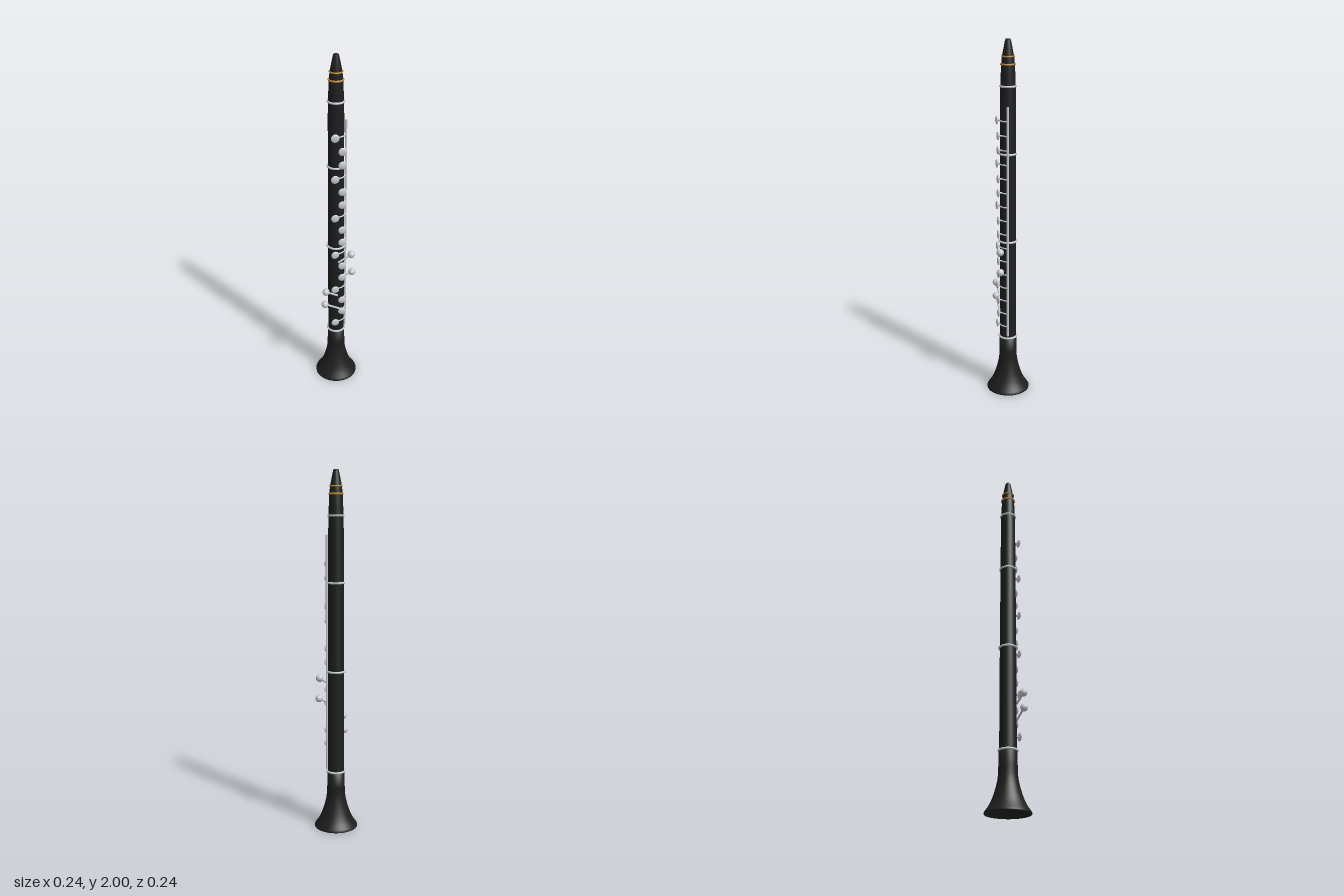
import * as THREE from 'three';

const mat = (name, color, side = THREE.FrontSide) => {
  const m = new THREE.MeshStandardMaterial({ color, side });
  m.name = name;
  return m;
};

export function createModel() {
  const wood = mat('black wood', 0x1e1e1e, THREE.DoubleSide);
  const silver = mat('silver', 0xc6c9ce);
  const gold = mat('gold', 0xb98a35);
  const model = new THREE.Group();
  model.name = 'clarinet';

  const add = (name, geo, material, x = 0, y = 0, z = 0, parent = model) => {
    const m = new THREE.Mesh(geo, material);
    m.name = name;
    m.position.set(x, y, z);
    parent.add(m);
    return m;
  };
  const lathe = (name, pts) =>
    add(name, new THREE.LatheGeometry(pts.map(p => new THREE.Vector2(...p)), 48), wood);
  const tube = (name, pts, r, parent) => add(name, new THREE.TubeGeometry(
    new THREE.CatmullRomCurve3(pts.map(p => new THREE.Vector3(...p))), 8 * (pts.length - 1), r, 8), silver, 0, 0, 0, parent);
  const ring = (name, y, r, t, material) =>
    add(name, new THREE.TorusGeometry(r, t, 10, 48), material, 0, y, 0).rotation.x = Math.PI / 2;

  // Flared bell: outside up, with a hollow inside
  const flare = [[0.122, 0.006], [0.117, 0.016], [0.102, 0.036], [0.087, 0.064], [0.074, 0.098],
    [0.063, 0.135], [0.055, 0.17], [0.051, 0.2], [0.05, 0.24], [0.049, 0.32]];
  const bore = flare.map(([r, y]) => [r - 0.008, y - 0.002]).reverse();
  lathe('bell', [[0.02, 0.318], ...bore, [0.116, 0], [0.121, 0.001], ...flare, [0, 0.33]]);

  // Lower joint, upper joint, barrel
  const joint = (name, y0, y1, r0, r1) =>
    add(name, new THREE.CylinderGeometry(r1, r0, y1 - y0, 48), wood, 0, (y0 + y1) / 2);
  joint('lowerJoint', 0.3, 0.905, 0.046, 0.045);
  joint('upperJoint', 0.905, 1.4, 0.045, 0.043);
  joint('topJoint', 1.4, 1.69, 0.043, 0.042);
  joint('barrel', 1.69, 1.757, 0.041, 0.041);

  // Tapered mouthpiece
  lathe('mouthpiece', [[0.04, 1.757], [0.039, 1.8], [0.037, 1.85], [0.034, 1.89],
    [0.031, 1.915], [0.022, 1.96], [0.016, 1.99], [0.013, 1.998], [0, 2]]);

  // Joint rings and ligature bands
  [[1.757, 0.041], [1.397, 0.044], [0.905, 0.048], [0.328, 0.049]]
    .forEach(([y, r]) => ring('jointRing', y, r, 0.006, silver));
  ring('ligatureBand', 1.87, 0.037, 0.005, gold);
  ring('ligatureBand', 1.911, 0.033, 0.004, gold);

  // Long hinge rod on the left side
  add('hingeRod', new THREE.CylinderGeometry(0.006, 0.006, 1.31, 12), silver, 0.051, 1.0, 0.01);

  // Sixteen keys: domed cup, stem into the body, arm to the hinge rod
  const cup = new THREE.SphereGeometry(0.023, 20, 12);
  cup.scale(1, 1, 0.32);
  const stem = new THREE.CylinderGeometry(0.005, 0.005, 0.025, 8);
  stem.rotateX(Math.PI / 2);
  for (let i = 0; i < 16; i++) {
    const key = new THREE.Group();
    key.name = 'key';
    model.add(key);
    const x = i % 3 === 0 ? -0.02 : 0.02;
    const y = 1.577 - i * 0.0783;
    add('keyCup', cup, silver, x, y, 0.058, key);
    add('keyStem', stem, silver, x, y, 0.045, key);
    tube('keyArm', [[x, y, 0.051], [0.024, y, 0.041], [0.041, y, 0.026], [0.051, y, 0.01]], 0.004, key);
  }

  // Little-finger levers with ball ends
  [[0.074, 0.862, 0, 0.815], [0.078, 0.746, 0.02, 0.717],
    [-0.074, 0.63, -0.005, 0.59], [-0.08, 0.545, 0.015, 0.49]].forEach(([x, y, x0, y0]) => {
    const lever = new THREE.Group();
    lever.name = 'lever';
    model.add(lever);
    add('leverBall', new THREE.SphereGeometry(0.021, 20, 14), silver, x, y, 0.056, lever);
    tube('leverArm', [[x0, y0, 0.05], [x, y, 0.056]], 0.006, lever);
  });

  return model;
}
